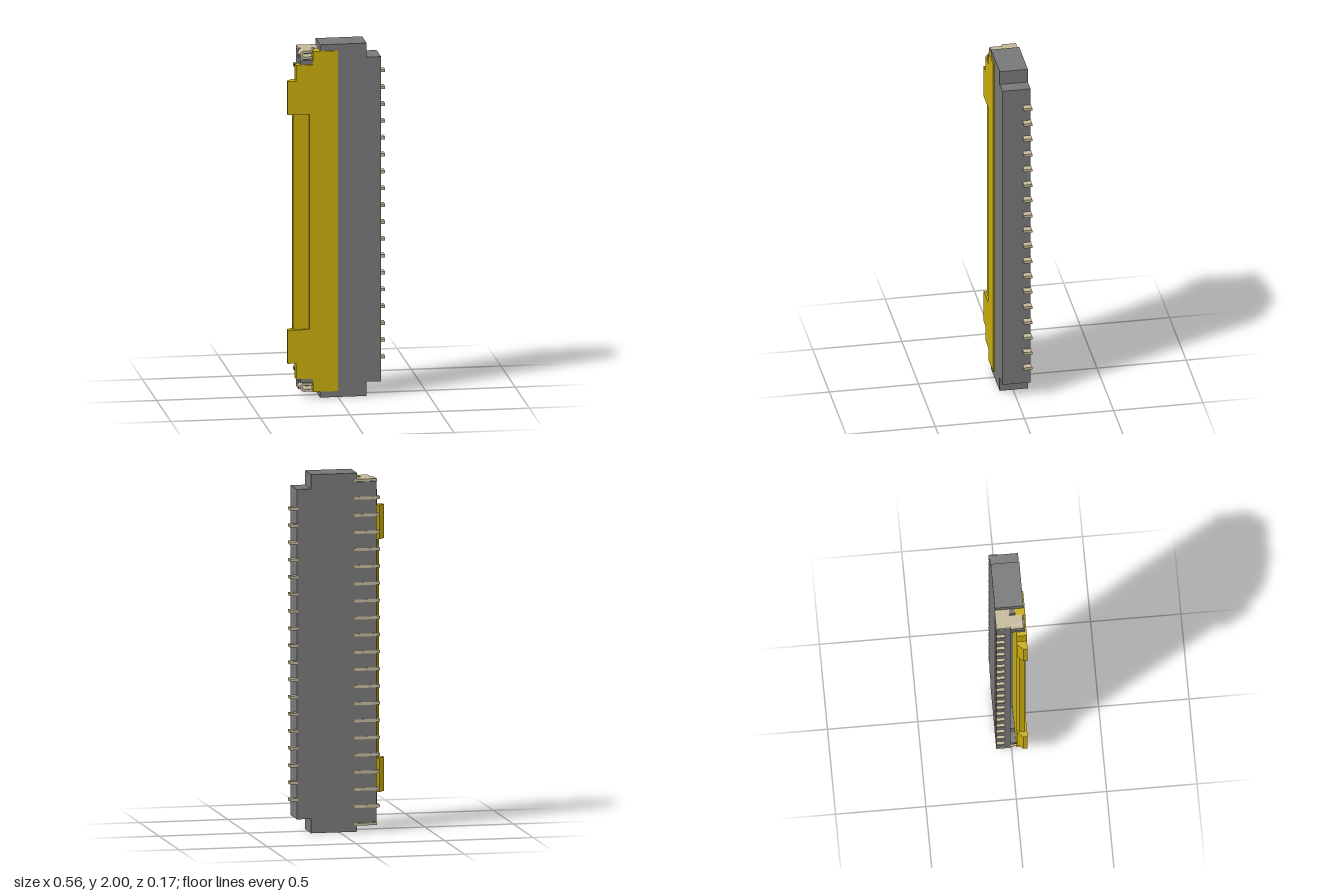
import * as THREE from 'three';

const mat = (color) => new THREE.MeshStandardMaterial({ color });
const housingMat = mat(0x787878);
const leverMat = mat(0xc8ac0c);
const metalMat = mat(0xc3b899);

export function createModel() {
  const model = new THREE.Group();

  const add = (parent, name, geo, material) => {
    const mesh = new THREE.Mesh(geo, material);
    mesh.name = name;
    parent.add(mesh);
    return mesh;
  };
  // Box given by its limits on each axis
  const box = (parent, name, material, x0, x1, y0, y1, z0, z1) => {
    const geo = new THREE.BoxGeometry(x1 - x0, y1 - y0, z1 - z0);
    geo.translate((x0 + x1) / 2, (y0 + y1) / 2, (z0 + z1) / 2);
    return add(parent, name, geo, material);
  };
  // Profile of [x, z] points swept along y
  const sweep = (parent, name, material, points, y0, y1) => {
    const shape = new THREE.Shape(points.map(([x, z]) => new THREE.Vector2(x, z)));
    const geo = new THREE.ExtrudeGeometry(shape, { depth: y1 - y0, bevelEnabled: false });
    geo.rotateX(Math.PI / 2).translate(0, y1, 0);
    return add(parent, name, geo, material);
  };
  const group = (name) => {
    const g = new THREE.Group();
    g.name = name;
    model.add(g);
    return g;
  };
  // Lower limit and upper limit of a span, mirrored about y = 1 for the top end
  const ends = (y0, y1) => [[y0, y1], [2 - y1, 2 - y0]];

  // Housing: floor, raised block, stepped end walls and clip posts
  const housing = group('housing');
  const back = -0.083, front = 0.075, floor = -0.005;
  box(housing, 'raisedBlock', housingMat, 0, 0.16, 0, 2, back, front);
  box(housing, 'pinSideWall', housingMat, 0.16, 0.24, 0.08, 1.92, back, front);
  box(housing, 'floor', housingMat, -0.1, 0, 0.035, 1.965, back, floor);
  box(housing, 'entryLip', housingMat, -0.21, -0.1, 0.05, 1.95, back, floor);
  for (const [a, b] of ends(0, 0.035)) box(housing, 'endWall', housingMat, -0.1, 0, a, b, back, front);
  for (const [a, b] of ends(0.035, 0.11)) box(housing, 'leverSeat', housingMat, -0.125, 0, a, b, floor, 0.024);
  for (const [a, b] of ends(0.087, 0.11)) box(housing, 'clipPost', housingMat, -0.21, -0.14, a, b, floor, front);

  // Lever: stepped plate with two bevelled lugs and a shallow recess between them
  const lever = group('lever');
  const lo = 0.025, hi = 0.082;
  for (const [a, b] of ends(0.035, 0.11))
    box(lever, 'leverTip', leverMat, -0.14, 0, a, b, lo, hi);
  for (const [a, b] of ends(0.11, 0.2))
    box(lever, 'leverShoulder', leverMat, -0.235, 0, a, b, lo, hi);
  for (const [a, b] of ends(0.2, 0.39))
    sweep(lever, 'leverLug', leverMat, [[0, lo], [0, hi], [-0.282, hi], [-0.282, 0.058], [-0.25, lo]], a, b);
  sweep(lever, 'leverPlate', leverMat,
    [[0, lo], [0, hi], [-0.16, hi], [-0.16, 0.07], [-0.25, 0.07], [-0.25, 0.04], [-0.235, lo]], 0.39, 1.61);

  // Contacts: one row on the pin side, a staggered row on the entry side
  const contacts = group('contacts');
  const pitch = 0.0955, t = 0.008;
  for (let i = 0; i < 18; i++) {
    const y = 1 + (i - 8.5) * pitch;
    box(contacts, 'rightContact', metalMat, 0.235, 0.28, y - t, y + t, -0.085, -0.038);
  }
  for (let i = 0; i < 19; i++) {
    const y = 1 + (i - 9) * pitch;
    box(contacts, 'leftContact', metalMat, -0.227, -0.085, y - t, y + t, -0.085, -0.038);
  }

  // End clips: a U-shaped strip with a solder tab running to the back
  const makeClip = () => {
    const clip = new THREE.Group();
    clip.name = 'endClip';
    const r = 0.024, w = 0.014, xc = -0.21 + r, xEnd = -0.137;
    const s = new THREE.Shape();
    s.moveTo(xEnd, r);
    s.lineTo(xc, r);
    s.absarc(xc, 0, r, Math.PI / 2, Math.PI * 1.5, false);
    s.lineTo(xEnd, -r);
    s.lineTo(xEnd, -r + w);
    s.lineTo(xc, -r + w);
    s.absarc(xc, 0, r - w, Math.PI * 1.5, Math.PI / 2, true);
    s.lineTo(xEnd, r - w);
    const geo = new THREE.ExtrudeGeometry(s, { depth: 0.07, bevelEnabled: false, curveSegments: 12 });
    geo.translate(0, 0, floor);
    add(clip, 'clipHook', geo, metalMat);
    box(clip, 'solderTab', metalMat, -0.21, -0.085, r - w, r, -0.085, floor);
    return clip;
  };
  const topClip = makeClip();
  topClip.position.y = 1.942;
  const bottomClip = makeClip();
  bottomClip.position.y = 0.058;
  // Flip the tab to the outer side at the bottom end
  bottomClip.children[1].position.y = -(0.048 - 0.014);
  model.add(topClip, bottomClip);

  return model;
}
